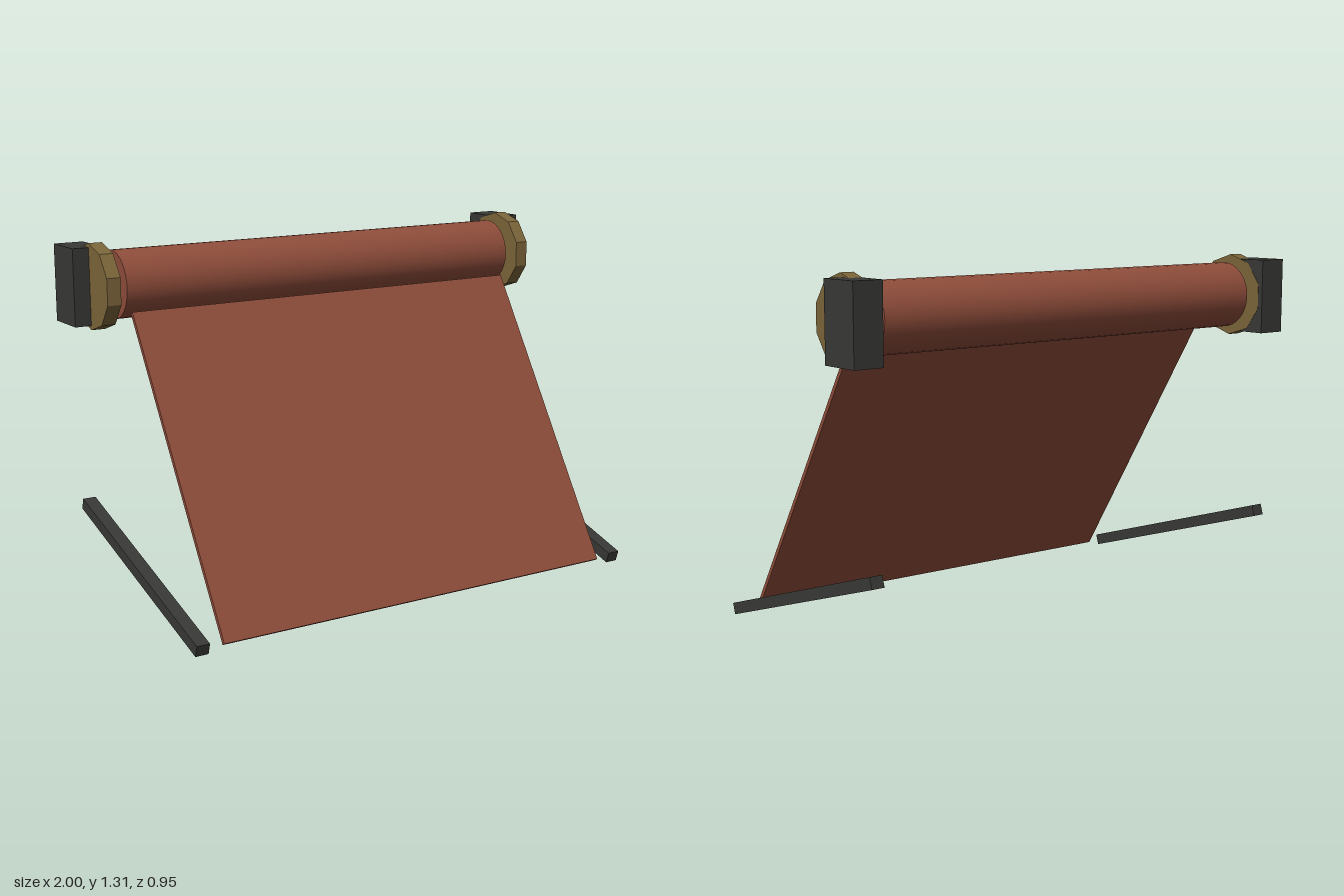
import * as THREE from 'three';

const fabric = new THREE.MeshStandardMaterial({ color: 0x8f4d3b });
const brass = new THREE.MeshStandardMaterial({ color: 0x7c663a, flatShading: true });
const dark = new THREE.MeshStandardMaterial({ color: 0x383836 });

const AXIS_Y = 1.16, AXIS_Z = -0.305;

export function createModel() {
  const model = new THREE.Group();
  model.name = 'awning';

  const add = (name, geometry, material, x, y, z, tilt = 0) => {
    const mesh = new THREE.Mesh(geometry, material);
    mesh.name = name;
    mesh.position.set(x, y, z);
    mesh.rotation.x = tilt;
    model.add(mesh);
  };

  // Cylinder lying along x, with a corner pointing straight up
  const rod = (radius, length, sides) =>
    new THREE.CylinderGeometry(radius, radius, length, sides, 1, false, Math.PI / 2).rotateZ(Math.PI / 2);

  // Rolled cloth and the sheet hanging forward from it
  add('roller', rod(0.126, 1.7, 32), fabric, 0, AXIS_Y, AXIS_Z);
  add('clothSheet', new THREE.BoxGeometry(1.66, 1.233, 0.016), fabric, 0, 0.547, 0.136, -0.56);

  // End fittings and support arms, mirrored
  for (const [side, s] of [['left', 1], ['right', -1]]) {
    add(side + 'EndCap', rod(0.158, 0.053, 10), brass, s * 0.9115, AXIS_Y - 0.002, AXIS_Z);
    add(side + 'WallBracket', new THREE.BoxGeometry(0.114, 0.284, 0.17), dark, s * 0.943, 1.158, -0.39);
    add(side + 'Arm', new THREE.BoxGeometry(0.05, 0.043, 0.967), dark, s * 0.911, 0.165, 0.005, 0.3);
  }
  return model;
}
